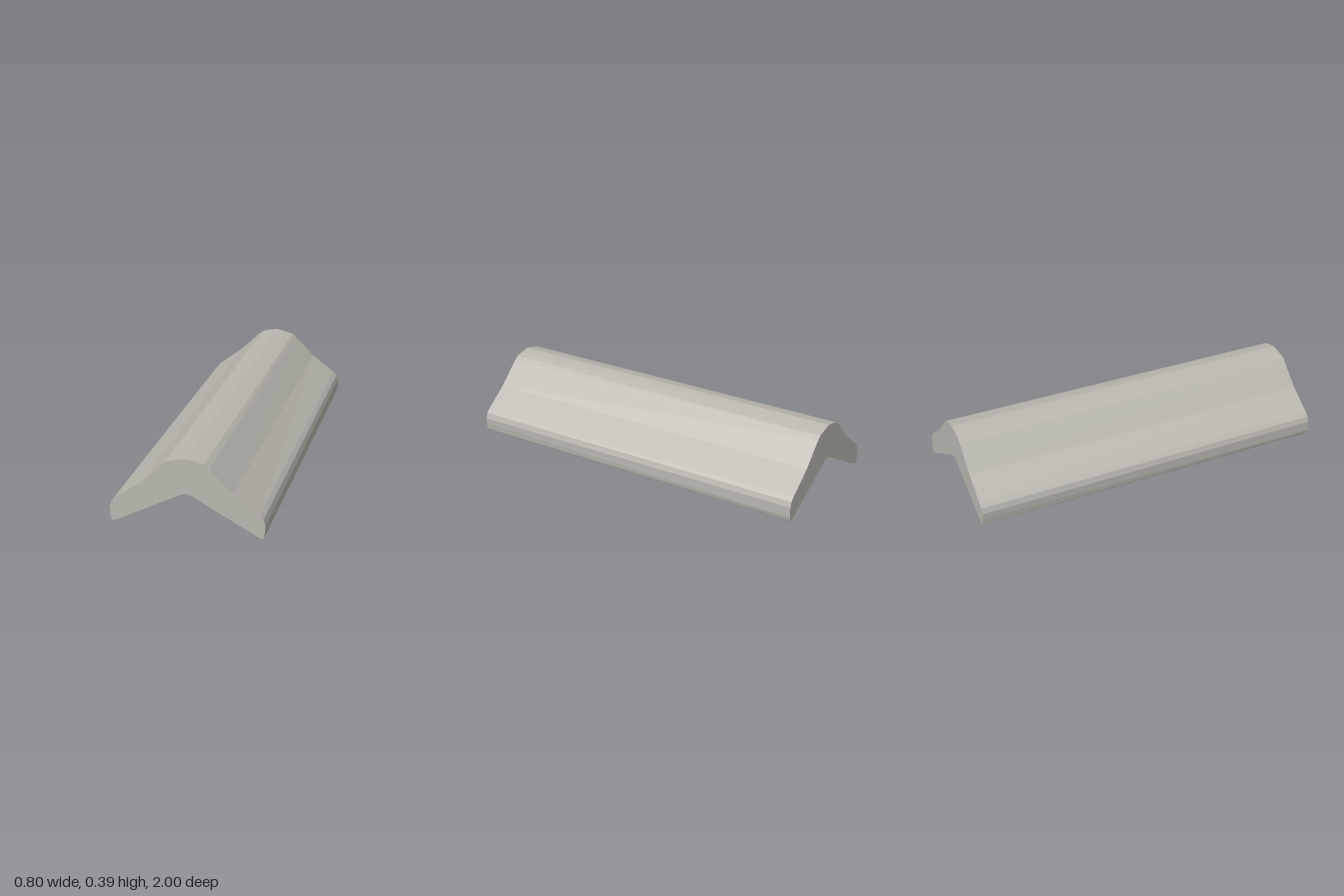
import * as THREE from 'three';

// Half profiles from ridge to inner valley, as [distance from centre, height]
const sideA = [[0.06, 0.376], [0.092, 0.366], [0.12, 0.345], [0.24, 0.226], [0.37, 0.126], [0.39, 0.106],
  [0.4, 0.075], [0.399, 0.045], [0.394, 0.006], [0.388, 0.001], [0.37, 0.004], [0.02, 0.194]];
const sideB = [[0.06, 0.374], [0.1, 0.363], [0.12, 0.346], [0.235, 0.23], [0.37, 0.133], [0.39, 0.113],
  [0.4, 0.085], [0.4, 0.028], [0.394, 0.006], [0.386, 0], [0.365, 0.009], [0.025, 0.192]];

// Closed outline from a right half and a left half
function outline(right, left) {
  return [
    [0, 0.387], ...right, [0, 0.197],
    ...left.map(([x, y]) => [-x, y]).reverse(),
  ].map(([x, y]) => new THREE.Vector2(x, y));
}

export function createModel() {
  const group = new THREE.Group();
  group.name = 'ridgeCapping';
  const stone = new THREE.MeshStandardMaterial({ color: 0xb9b7af, flatShading: true });
  stone.name = 'warm grey';

  // Long bar whose far end swaps the two halves, giving a slight twist
  const front = outline(sideA, sideB);
  const back = outline(sideB, sideA);
  const geometry = new THREE.ExtrudeGeometry(new THREE.Shape(front), { depth: 2, steps: 1, bevelEnabled: false });
  geometry.translate(0, 0, -1);
  const pos = geometry.attributes.position;
  for (let i = 0; i < pos.count; i++) {
    if (pos.getZ(i) > 0) continue;
    const p = new THREE.Vector2(pos.getX(i), pos.getY(i));
    const k = front.findIndex((f) => f.distanceTo(p) < 1e-4);
    if (k >= 0) pos.setXY(i, back[k].x, back[k].y);
  }
  geometry.computeVertexNormals();

  const bar = new THREE.Mesh(geometry, stone);
  bar.name = 'ridgeBar';
  group.add(bar);
  return group;
}
